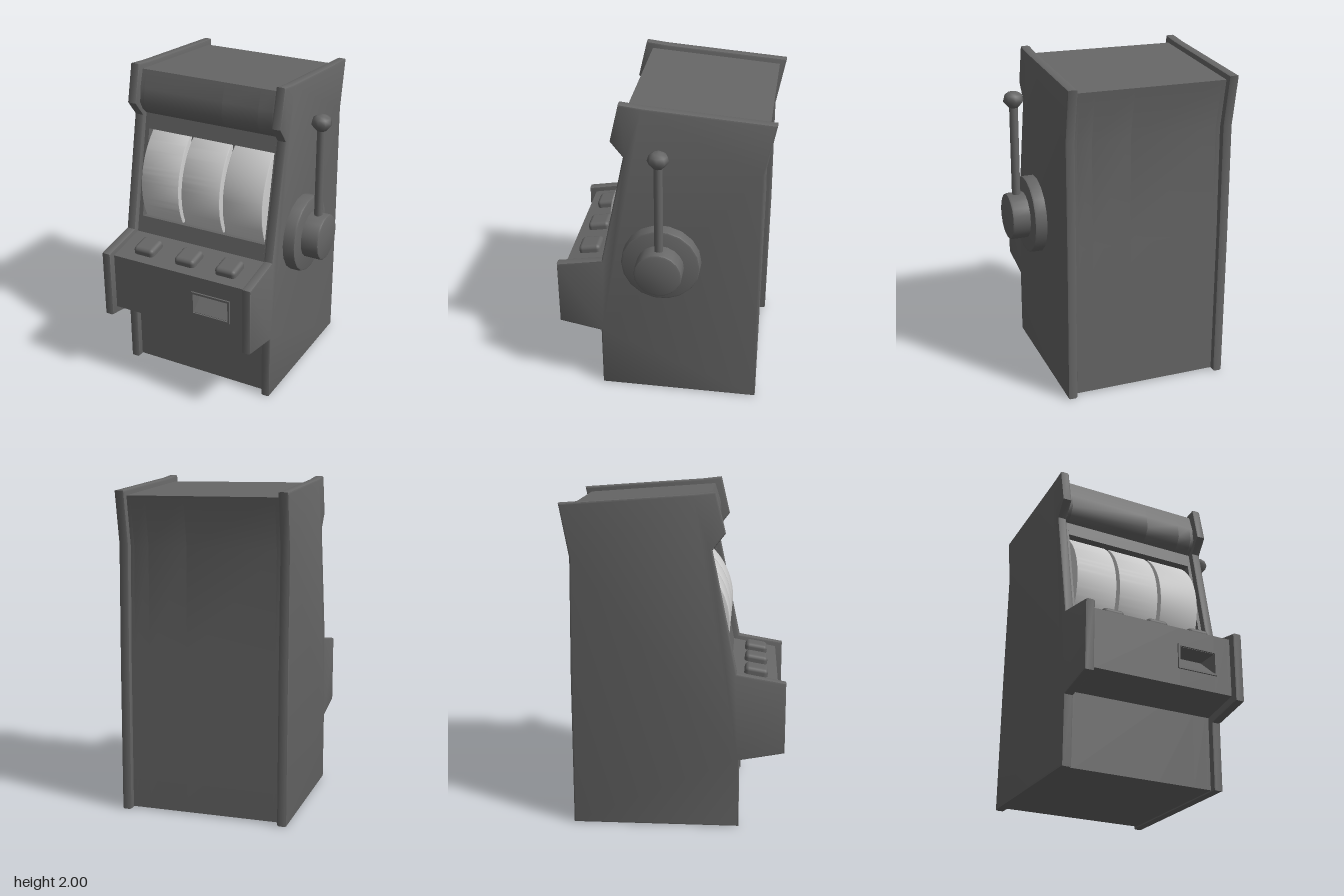
import * as THREE from 'three';
import { toCreasedNormals } from 'three/addons/utils/BufferGeometryUtils.js';
import { RoundedBoxGeometry } from 'three/addons/geometries/RoundedBoxGeometry.js';

const dark = new THREE.MeshStandardMaterial({ color: 0x666666 });
const light = new THREE.MeshStandardMaterial({ color: 0xcccccc });

function add(parent, name, geometry, material = dark) {
  const mesh = new THREE.Mesh(geometry, material);
  mesh.name = name;
  parent.add(mesh);
  return mesh;
}

const toShape = (points) => new THREE.Shape(points.map(([z, y]) => new THREE.Vector2(z, y)));

// Extrudes a (z, y) outline across the width from x0 to x1, with optional rounded edges
function acrossWidth(shape, x0, x1, bevel = 0) {
  const geometry = new THREE.ExtrudeGeometry(shape, {
    depth: x1 - x0 - 2 * bevel, curveSegments: 20, bevelEnabled: bevel > 0,
    bevelSize: bevel, bevelOffset: -bevel, bevelThickness: bevel, bevelSegments: 2,
  });
  geometry.rotateY(-Math.PI / 2).translate(x1 - bevel, 0, 0);
  return toCreasedNormals(geometry, 0.6);
}

// Cabinet section; the reel window and the coin tray are notches in its front
function bodyOutline(hasWindow, hasTray) {
  const window = [[0.315, 1.03], [0.165, 1.0], [0.05, 1.55], [0.2, 1.58]];
  const tray = [[0.61, 0.755], [0.46, 0.755], [0.61, 0.63]];
  return toShape([
    [-0.57, 0.01], [0.35, 0.01], [0.35, 0.46], [0.61, 0.51],
    ...(hasTray ? tray.slice().reverse() : []),
    [0.61, 0.875], [0.335, 0.925],
    ...(hasWindow ? window : []),
    [0.18, 1.675], [0.22, 1.71], [0.245, 1.76], [0.235, 1.85], [0.2, 1.96],
    [-0.61, 1.9], [-0.555, 1.6], [-0.57, 0.95],
  ]);
}

export function createModel() {
  const model = new THREE.Group();
  model.name = 'slotMachine';

  // Side panels
  const sideOutline = toShape([
    [-0.605, 0], [0.39, 0], [0.39, 0.42], [0.655, 0.47], [0.655, 0.9], [0.37, 0.95],
    [0.22, 1.67], [0.295, 1.765], [0.24, 2], [0.11, 1.985], [-0.652, 1.93],
    [-0.595, 1.62], [-0.605, 0.9],
  ]);
  add(model, 'rightSidePanel', acrossWidth(sideOutline, -0.613, -0.553, 0.012));
  add(model, 'leftSidePanel', acrossWidth(sideOutline, 0.36, 0.42, 0.012));

  // Cabinet body, in slices so that the window and tray are real recesses
  const cabinet = new THREE.Group();
  cabinet.name = 'cabinet';
  model.add(cabinet);
  [
    [-0.555, -0.525, false, false],
    [-0.525, 0.012, true, false],
    [0.012, 0.248, true, true],
    [0.248, 0.338, true, false],
    [0.338, 0.365, false, false],
  ].forEach(([x0, x1, hasWindow, hasTray]) => {
    add(cabinet, 'cabinetSection', acrossWidth(bodyOutline(hasWindow, hasTray), x0, x1));
  });

  // Reels: arcs bulging out of the sloping window
  const radius = 0.45, tilt = 0.205, spread = 0.75;
  const reelShape = new THREE.Shape();
  reelShape.absarc(-0.126, 1.222, radius, tilt - spread, tilt + spread, false);
  reelShape.closePath();
  [-0.385, -0.0975, 0.19].forEach((x) => {
    add(model, 'reel', acrossWidth(reelShape, x - 0.133, x + 0.133, 0.006), light);
  });

  // Buttons on the sloping console
  [-0.38, -0.09, 0.19].forEach((x) => {
    const button = add(model, 'button', new RoundedBoxGeometry(0.14, 0.075, 0.14, 2, 0.025));
    button.position.set(x, 0.907, 0.48);
    button.rotation.x = 0.17;
  });

  // Coin tray frame
  const rect = (path, x0, y0, x1, y1) =>
    path.moveTo(x0, y0).lineTo(x1, y0).lineTo(x1, y1).lineTo(x0, y1).closePath();
  const frame = rect(new THREE.Shape(), 0, 0.615, 0.26, 0.77);
  frame.holes.push(rect(new THREE.Path(), 0.012, 0.628, 0.248, 0.757));
  add(model, 'coinTrayFrame', new THREE.ExtrudeGeometry(frame, { depth: 0.02, bevelEnabled: false }))
    .position.z = 0.6;

  // Lever: stepped round mount, rod and knob
  const lever = new THREE.Group();
  lever.name = 'lever';
  lever.position.set(0, 1, -0.005);
  model.add(lever);
  const disc = (name, r, x0, x1, sides) => {
    const b = 0.014;
    const profile = [[0, x0], [r, x0], [r, x1 - b], [r - b * 0.3, x1 - b * 0.3], [r - b, x1], [0, x1]];
    const geometry = new THREE.LatheGeometry(profile.map(([a, h]) => new THREE.Vector2(a, h)), sides);
    geometry.rotateZ(-Math.PI / 2);
    add(lever, name, toCreasedNormals(geometry, 0.6));
  };
  disc('leverPlate', 0.24, 0.41, 0.496, 18);
  disc('leverHub', 0.144, 0.48, 0.607, 20);
  add(lever, 'leverRod', new THREE.CylinderGeometry(0.026, 0.026, 0.62, 10)).position.set(0.543, 0.41, 0);
  const knobProfile = [[0, 0.685], [0.03, 0.69], [0.064, 0.73], [0.054, 0.765], [0.03, 0.782], [0, 0.786]];
  add(lever, 'leverKnob', new THREE.LatheGeometry(
    knobProfile.map(([r, y]) => new THREE.Vector2(r, y)), 8)).position.x = 0.543;

  return model;
}
